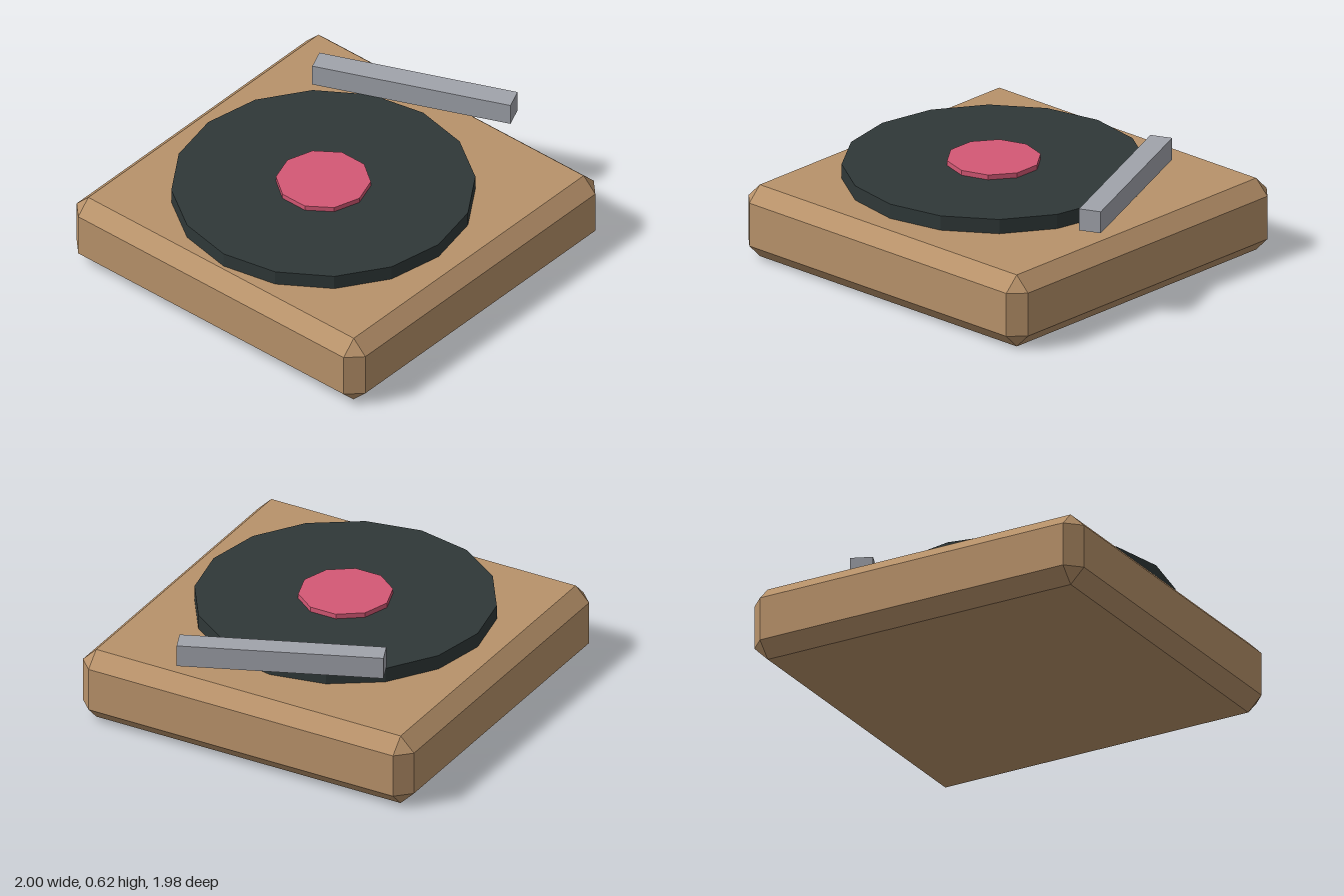
import * as THREE from 'three';
import { ConvexGeometry } from 'three/addons/geometries/ConvexGeometry.js';

const material = (name, color) => {
  const m = new THREE.MeshStandardMaterial({ color, flatShading: true });
  m.name = name;
  return m;
};

// Box with every edge and corner cut off flat
function chamferedBox(w, h, d, c) {
  const points = [];
  const x = w / 2, y = h / 2, z = d / 2;
  for (const sx of [-1, 1]) for (const sy of [-1, 1]) for (const sz of [-1, 1]) {
    points.push(
      new THREE.Vector3(sx * x, sy * (y - c), sz * (z - c)),
      new THREE.Vector3(sx * (x - c), sy * y, sz * (z - c)),
      new THREE.Vector3(sx * (x - c), sy * (y - c), sz * z)
    );
  }
  return new ConvexGeometry(points);
}

export function createModel() {
  const group = new THREE.Group();
  group.name = 'recordPlayer';

  const wood = material('wood', 0xb8926a);
  const vinyl = material('vinyl', 0x2f3838);
  const pink = material('pinkLabel', 0xd45875);
  const metal = material('greyMetal', 0xa0a3ab);

  const add = (name, geometry, mat, x, y, z) => {
    const mesh = new THREE.Mesh(geometry, mat);
    mesh.name = name;
    mesh.position.set(x, y, z);
    group.add(mesh);
    return mesh;
  };

  // Wooden case
  add('case', chamferedBox(1.98, 0.4, 1.98, 0.08), wood, -0.01, 0.2, 0);

  // Record and its centre label
  add('record', new THREE.CylinderGeometry(0.79, 0.79, 0.08, 16), vinyl, -0.11, 0.44, 0);
  add('label', new THREE.CylinderGeometry(0.247, 0.247, 0.03, 10), pink, -0.11, 0.492, 0);

  // Tone arm, turned across the record's edge
  const arm = add('toneArm', new THREE.BoxGeometry(0.12, 0.12, 1.08), metal, 0.73, 0.56, -0.1);
  arm.rotation.y = 0.4;

  return group;
}
